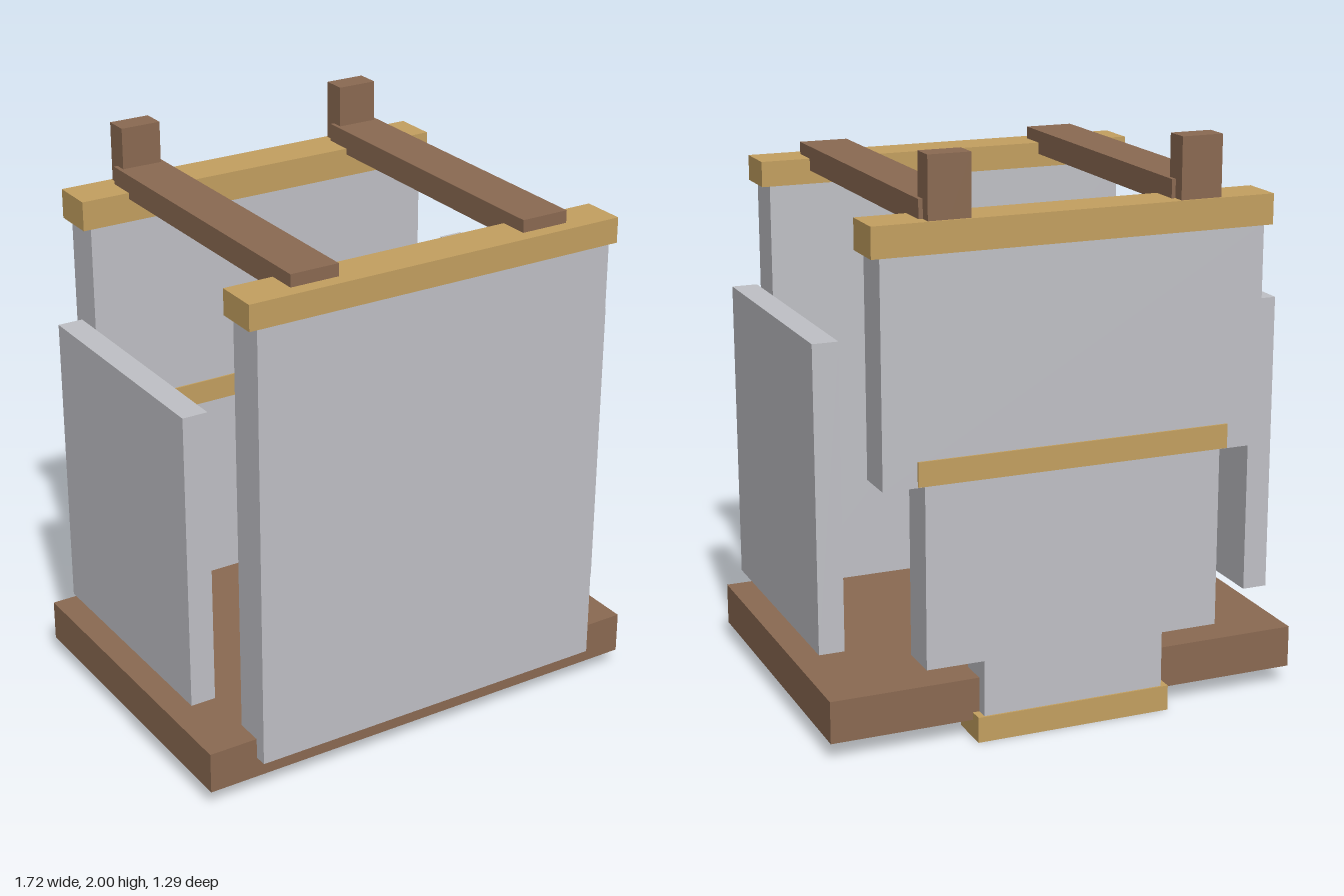
import * as THREE from 'three';

export function createModel() {
  const model = new THREE.Group();
  model.name = 'panelHouse';

  const material = (name, color) => {
    const m = new THREE.MeshStandardMaterial({ color });
    m.name = name;
    return m;
  };
  const brown = material('darkWood', 0x8b6a52);
  const tan = material('lightWood', 0xc4a060);
  const grey = material('greyPanel', 0xc0c1c6);

  // Box given by its extents along each axis
  const box = (name, mat, [x0, x1], [y0, y1], [z0, z1]) => {
    const mesh = new THREE.Mesh(new THREE.BoxGeometry(x1 - x0, y1 - y0, z1 - z0), mat);
    mesh.position.set((x0 + x1) / 2, (y0 + y1) / 2, (z0 + z1) / 2);
    mesh.name = name;
    model.add(mesh);
  };
  // Box centred on x, and a pair mirrored left and right
  const centred = (name, mat, half, y, z) => box(name, mat, [-half, half], y, z);
  const pair = (name, mat, [x0, x1], y, z) => {
    box(name + 'Left', mat, [x0, x1], y, z);
    box(name + 'Right', mat, [-x1, -x0], y, z);
  };

  // Floor slab
  centred('base', brown, 0.858, [0.063, 0.212], [-0.592, 0.592]);

  // Front wall with its cap rail
  centred('frontPanel', grey, 0.68, [0.138, 1.722], [0.492, 0.638]);
  centred('frontRail', tan, 0.71, [1.72, 1.81], [0.485, 0.643]);

  // Back wall, stepping narrower towards the floor, with a rail at each step
  const backZ = [-0.636, -0.49], railZ = [-0.643, -0.484];
  centred('backUpperPanel', grey, 0.68, [0.922, 1.69], backZ);
  centred('backMiddlePanel', grey, 0.535, [0.288, 0.922], backZ);
  centred('backLowerPanel', grey, 0.33, [0.06, 0.288], backZ);
  centred('backTopRail', tan, 0.71, [1.685, 1.79], railZ);
  centred('backMiddleRail', tan, 0.56, [0.925, 1.01], railZ);
  centred('backBottomRail', tan, 0.354, [0, 0.09], railZ);

  // Free-standing side panels with inner blocks
  pair('sidePanel', grey, [0.753, 0.843], [0.318, 1.382], [-0.443, 0.443]);
  pair('sideBlock', tan, [0.696, 0.835], [0.655, 0.80], [-0.088, 0.088]);

  // Roof beams and the posts at their back ends
  pair('roofBeam', brown, [0.356, 0.532], [1.768, 1.854], [-0.592, 0.592]);
  pair('roofPost', brown, [0.37, 0.517], [1.6, 2], [-0.635, -0.549]);

  return model;
}
